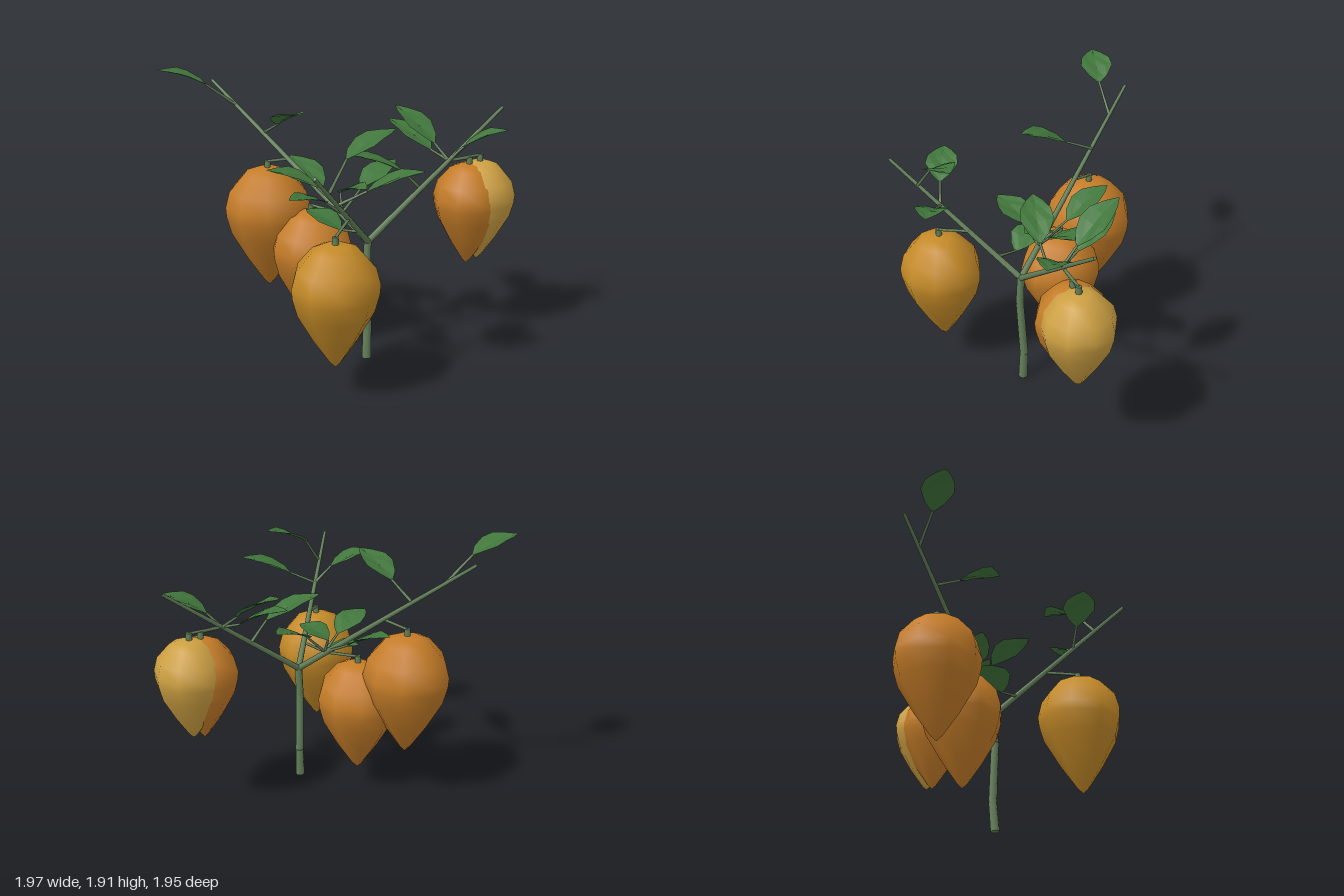
import * as THREE from 'three';

const V = (p) => new THREE.Vector3(...p);
const woodMat = new THREE.MeshStandardMaterial({ color: 0x64805a });
const leafMat = new THREE.MeshStandardMaterial({ color: 0x41763c, flatShading: true, side: THREE.DoubleSide });

// Tapered stick between two points
function stick(name, a, b, r0, r1, sides = 6) {
  const from = V(a), to = V(b), dir = to.clone().sub(from);
  const mesh = new THREE.Mesh(new THREE.CylinderGeometry(r1, r0, dir.length(), sides), woodMat);
  mesh.position.copy(from).add(to).multiplyScalar(0.5);
  mesh.quaternion.setFromUnitVectors(new THREE.Vector3(0, 1, 0), dir.normalize());
  mesh.name = name;
  return mesh;
}

// Folded leaf from cross-sections [distance along, half width]
const leafRows = [[0, 0.012], [0.14, 0.065], [0.4, 0.112], [0.62, 0.1], [0.84, 0.055], [1, 0.004]];
function leafBlade(base, tip) {
  const a = V(base), dir = V(tip).sub(a);
  const side = new THREE.Vector3(-dir.z, 0, dir.x).normalize();
  const up = side.clone().cross(dir).normalize();
  const pos = [], idx = [];
  leafRows.forEach(([t, w], i) => {
    for (let j = 0; j < 5; j++) {
      const s = (j - 2) / 2;
      const lift = Math.abs(s) * w * 0.18 + Math.sin(t * Math.PI) * 0.02 + (((i + j) % 2) - 0.5) * w * 0.06;
      const p = a.clone().addScaledVector(dir, t).addScaledVector(side, s * w).addScaledVector(up, lift);
      pos.push(p.x, p.y, p.z);
      if (i && j) {
        const d = i * 5 + j, c = d - 1, b = d - 5, e = d - 6;
        idx.push(e, b, c, b, d, c);
      }
    }
  });
  const geo = new THREE.BufferGeometry();
  geo.setAttribute('position', new THREE.Float32BufferAttribute(pos, 3));
  geo.setIndex(idx);
  geo.computeVertexNormals();
  const mesh = new THREE.Mesh(geo, leafMat);
  mesh.name = 'leafBlade';
  return mesh;
}

// Fruit profile: [radius, height], both as fractions, from the pointed bottom up
const fruitProfile = [[0, 0], [0.13, 0.045], [0.5, 0.235], [0.87, 0.46], [0.98, 0.6], [1, 0.68],
  [0.9, 0.81], [0.55, 0.95], [0.3, 0.985], [0, 1]].map(([r, y]) => new THREE.Vector2(r, y));

function fruit([x, y0, z], y1, rx, rz, turn, color, joint) {
  const g = new THREE.Group();
  g.name = 'fruit';
  const geo = new THREE.LatheGeometry(fruitProfile, 9, turn);
  geo.scale(rx, y1 - y0, rz);
  const body = new THREE.Mesh(geo, new THREE.MeshStandardMaterial({ color }));
  body.position.set(x, y0, z);
  body.name = 'fruitBody';
  g.add(body,
    stick('fruitStem', [x, y1 - 0.02, z], [x, y1 + 0.045, z], 0.022, 0.02, 8),
    stick('fruitTwig', joint, [x, y1 + 0.04, z], 0.011, 0.01));
  return g;
}

export function createModel() {
  const root = new THREE.Group();
  root.name = 'fruitBranch';

  // Slightly bent trunk
  const trunk = [[0.36, 0, 0.095], [0.355, 0.21, 0.083], [0.363, 0.64, 0.105], [0.36, 0.86, 0.09]];
  for (let i = 0; i < 3; i++) {
    root.add(stick('trunk', trunk[i], trunk[i + 1], 0.031 - i * 0.002, 0.029 - i * 0.002, 8));
  }

  // Three main branches
  const fork = [0.36, 0.85, 0.09];
  for (const tip of [[-0.89, 1.79, 0.33], [0.735, 1.57, 0.97], [0.685, 1.64, -0.92]]) {
    root.add(stick('branch', fork, tip, 0.022, 0.011, 8));
  }

  // Hanging fruit: bottom point, top height, radii, turn, colour, joint on branch
  const orange = 0xc47c28;
  root.add(
    fruit([-0.44, 0.36, 0.24], 1.235, 0.3, 0.3, 0.1, orange, [-0.27, 1.32, 0.21]),
    fruit([-0.09, 0.16, 0.17], 0.98, 0.29, 0.27, 0.3, orange, [0.14, 1.01, 0.13]),
    fruit([0.6, 0.21, 0.655], 1.05, 0.28, 0.29, 0.2, 0xc48a28, [0.51, 1.14, 0.43]),
    fruit([0.64, 0.57, -0.745], 1.29, 0.25, 0.245, 0, 0xcc9f42, [0.55, 1.32, -0.51]),
    fruit([0.61, 0.55, -0.665], 1.28, 0.245, 0.245, 0.35, orange, [0.55, 1.32, -0.51]));

  // Leaves: joint on branch, blade base, blade tip
  const leaves = [
    [[-0.69, 1.64, 0.29], [-0.78, 1.8, 0.48], [-0.97, 1.91, 0.74]],
    [[-0.46, 1.48, 0.24], [-0.27, 1.58, 0.3], [0.05, 1.72, 0.4]],
    [[0.14, 1.02, 0.13], [-0.07, 1.13, 0.08], [-0.42, 1.28, 0.04]],
    [[0.16, 1.01, 0.13], [0.19, 1.16, -0.03], [0.21, 1.29, -0.36]],
    [[0.16, 1.01, 0.13], [0.14, 1.11, 0.26], [0.12, 1.2, 0.58]],
    [[0.16, 1.01, 0.13], [0.1, 1.13, 0.08], [0.33, 1.2, 0.07]],
    [[0.43, 0.98, 0.25], [0.26, 0.95, 0.25], [-0.01, 1.04, 0.3]],
    [[0.47, 1.16, -0.3], [0.43, 1.29, -0.18], [0.2, 1.43, 0.13]],
    [[0.55, 1.32, -0.51], [0.42, 1.42, -0.51], [0.06, 1.62, -0.52]],
    [[0.55, 1.32, -0.51], [0.4, 1.37, -0.5], [0.04, 1.53, -0.47]],
    [[0.55, 1.32, -0.51], [0.63, 1.42, -0.57], [0.88, 1.55, -0.72]],
    [[0.59, 1.29, 0.63], [0.51, 1.41, 0.72], [0.29, 1.52, 0.93]],
    [[0.59, 1.29, 0.63], [0.72, 1.38, 0.5], [0.99, 1.51, 0.27]],
    [[0.66, 1.42, 0.77], [0.66, 1.6, 0.62], [0.76, 1.74, 0.29]],
  ];
  for (const [joint, base, tip] of leaves) {
    const leaf = new THREE.Group();
    leaf.name = 'leaf';
    leaf.add(stick('leafStalk', joint, base, 0.011, 0.008), leafBlade(base, tip));
    root.add(leaf);
  }
  return root;
}
